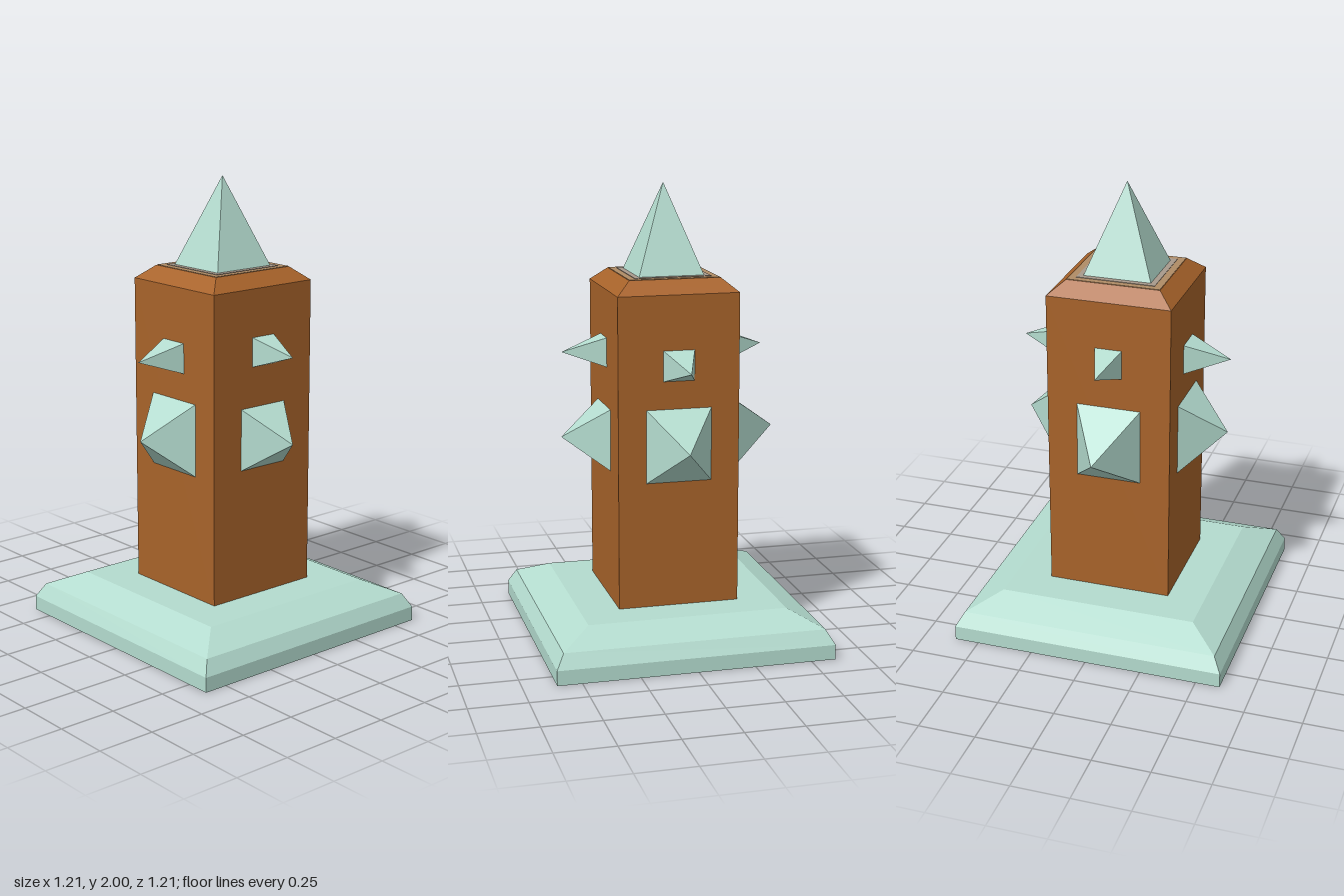
import * as THREE from 'three';

const paint = (color) => new THREE.MeshStandardMaterial({ color, flatShading: true });

// Four-sided solid from a profile of [half width, height], closed at both ends
function squareSolid(name, profile, material, depthRatio = 1) {
  const pts = profile.map(([r, y]) => new THREE.Vector2(r * Math.SQRT2, y));
  if (pts[0].x > 0) pts.unshift(new THREE.Vector2(0, pts[0].y));
  const last = pts[pts.length - 1];
  if (last.x > 0) pts.push(new THREE.Vector2(0, last.y));
  const geo = new THREE.LatheGeometry(pts, 4, Math.PI / 4).toNonIndexed();
  geo.scale(1, 1, depthRatio);
  geo.computeVertexNormals();
  const mesh = new THREE.Mesh(geo, material);
  mesh.name = name;
  return mesh;
}

export function createModel() {
  const model = new THREE.Group();
  model.name = 'spikedPillar';
  const mint = paint(0xb4dccf);
  const brown = paint(0xa8632a);
  const tan = paint(0xb08c66);
  const greyTan = paint(0xa89a8c);

  // Bevelled plinth
  model.add(squareSolid('base', [[0.607, 0], [0.607, 0.065], [0.572, 0.127], [0.438, 0.19]], mint));

  // Column with chamfered top, slightly deeper than wide
  model.add(squareSolid('column', [[0.266, 0.185], [0.266, 1.553], [0.2, 1.61]], brown, 1.03));

  // Pale bands around the foot of the finial
  model.add(squareSolid('topBand', [[0.198, 1.608], [0.198, 1.612]], tan, 1.03));
  model.add(squareSolid('innerTopBand', [[0.168, 1.61], [0.168, 1.614]], greyTan, 1.03));

  // Finial
  model.add(squareSolid('finial', [[0.148, 1.6], [0, 2]], mint, 1.04));

  // Spikes per side: turn about y, face distance, then [name, half width, half height, y, tip reach]
  const sides = [
    ['front', 0, 0.274, [['LowerSpike', 0.143, 0.16, 0.903, 0.46], ['UpperSpike', 0.068, 0.066, 1.25, 0.466]]],
    ['left', Math.PI / 2, 0.266, [['LowerSpike', 0.122, 0.136, 0.904, 0.458], ['UpperSpike', 0.06, 0.064, 1.28, 0.453]]],
    ['back', Math.PI, 0.274, [['LowerSpike', 0.143, 0.16, 0.903, 0.455], ['UpperSpike', 0.068, 0.066, 1.25, 0.472]]],
    ['right', -Math.PI / 2, 0.266, [['LowerSpike', 0.142, 0.17, 0.904, 0.5], ['UpperSpike', 0.06, 0.064, 1.28, 0.445]]],
  ];
  for (const [side, turn, face, spikes] of sides) {
    const group = new THREE.Group();
    group.name = side + 'Spikes';
    group.rotation.y = turn;
    for (const [part, halfW, halfH, y, reach] of spikes) {
      const spike = squareSolid(side + part, [[halfW, 0], [0, reach - face]], mint, halfH / halfW);
      spike.rotation.x = Math.PI / 2;
      spike.position.set(0, y, face);
      group.add(spike);
    }
    model.add(group);
  }
  return model;
}
